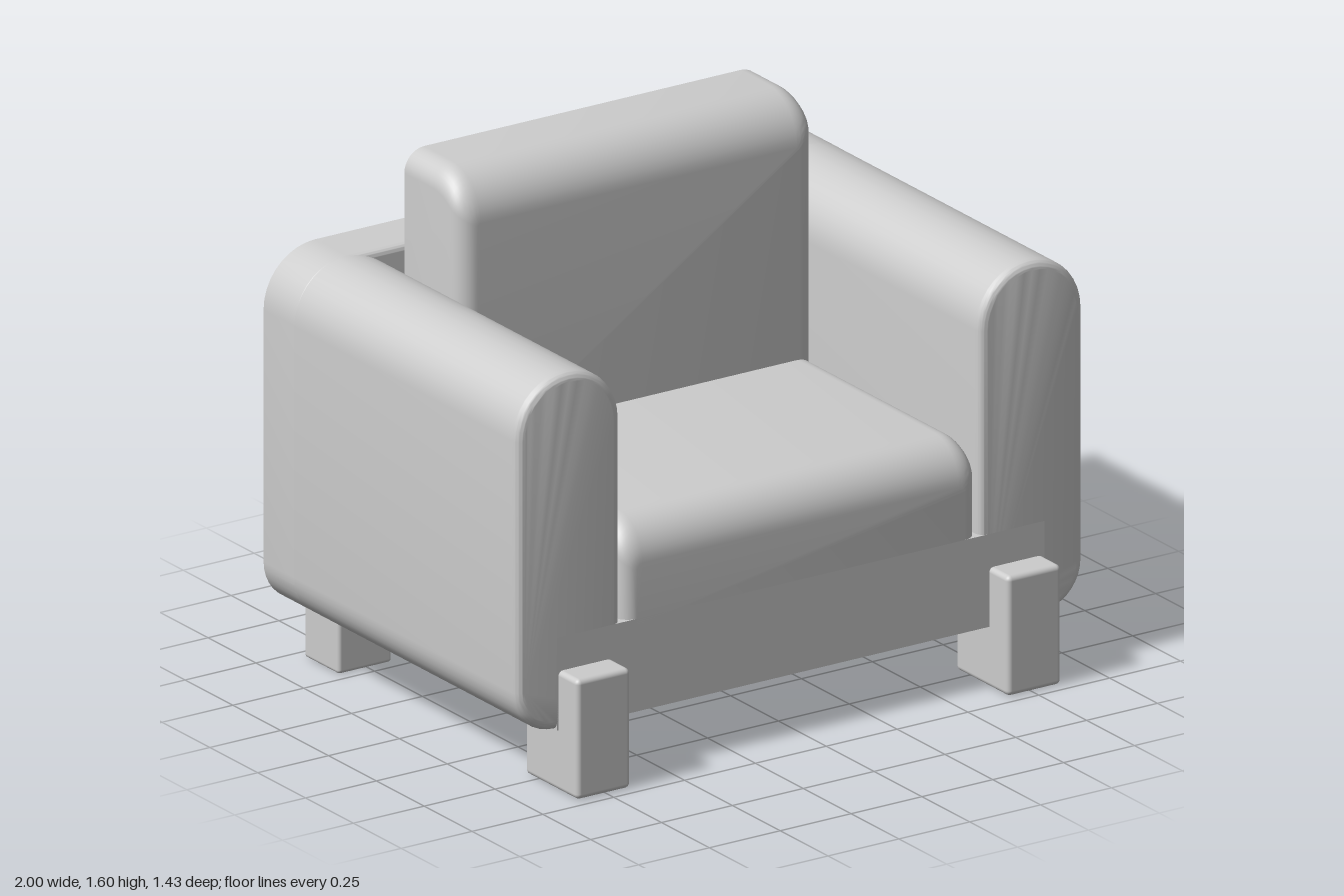
import * as THREE from 'three';
import { toCreasedNormals } from 'three/addons/utils/BufferGeometryUtils.js';
import { RoundedBoxGeometry } from 'three/addons/geometries/RoundedBoxGeometry.js';

const BACK = -0.71, FRONT = 0.617, FLOOR = 0.19, ARM_TOP = 1.3;

// Rounded rectangle outline; radii run bottom left, bottom right, top right, top left
function outline(x0, x1, y0, y1, radii) {
  const points = [];
  const corners = [[x0, y0, 1, 1], [x1, y0, -1, 1], [x1, y1, -1, -1], [x0, y1, 1, -1]];
  corners.forEach(([x, y, sx, sy], k) => {
    const r = radii[k];
    const steps = r > 0 ? 9 : 0;
    for (let i = 0; i <= steps; i++) {
      const a = Math.PI + (k + (steps ? i / steps : 0)) * Math.PI / 2;
      points.push([x + sx * r + r * Math.cos(a), y + sy * r + r * Math.sin(a)]);
    }
  });
  return points;
}

// How far a quarter-round edge of radius r has pulled in at a distance d from the face
const pullIn = (r, d) => (d >= r ? 0 : r - Math.sqrt(r * r - (r - d) ** 2));

// Block along z, flat behind, its front edges rounded by separate radii per side
function block({ x0, x1, y0, y1, z0, z1, radii, side, top, bottom = 0 }) {
  const depth = Math.max(side, top, bottom);
  const distances = [z1 - z0];
  for (let i = 0; i <= 12; i++) distances.push(depth * (1 - Math.sin(i / 12 * Math.PI / 2)));
  const loops = distances.map((d) => {
    const s = pullIn(side, d);
    const edge = outline(x0 + s, x1 - s, y0 + pullIn(bottom, d), y1 - pullIn(top, d),
      radii.map((r) => (r > 0 ? Math.max(r - s, 0.01) : 0)));
    return edge.map(([x, y]) => [x, y, z1 - d]);
  });
  const position = [];
  const tri = (...corners) => corners.forEach((p) => position.push(...p));
  const n = loops[0].length;
  for (let k = 0; k < loops.length - 1; k++) {
    for (let i = 0; i < n; i++) {
      const j = (i + 1) % n;
      tri(loops[k][i], loops[k][j], loops[k + 1][j]);
      tri(loops[k][i], loops[k + 1][j], loops[k + 1][i]);
    }
  }
  const first = loops[0], last = loops[loops.length - 1];
  for (let i = 1; i < n - 1; i++) {
    tri(first[0], first[i + 1], first[i]);
    tri(last[0], last[i], last[i + 1]);
  }
  const geometry = new THREE.BufferGeometry();
  geometry.setAttribute('position', new THREE.Float32BufferAttribute(position, 3));
  return toCreasedNormals(geometry, 0.6);
}

export function createModel() {
  const model = new THREE.Group();
  model.name = 'armchair';
  const upholstery = new THREE.MeshStandardMaterial({ color: 0xcccccc });
  upholstery.name = 'light grey';

  const add = (name, geometry, x = 0, y = 0, z = 0) => {
    const mesh = new THREE.Mesh(geometry, upholstery);
    mesh.name = name;
    mesh.position.set(x, y, z);
    model.add(mesh);
  };

  // Base between the arms, flush with their fronts
  add('base', new THREE.BoxGeometry(1.72, 0.29, FRONT - BACK),
    0, FLOOR + 0.145, (FRONT + BACK) / 2);

  // Back panel across the full width
  add('backPanel', block({
    x0: -1, x1: 1, y0: FLOOR, y1: ARM_TOP, z0: BACK, z1: -0.53,
    radii: [0.14, 0.14, 0.182, 0.182], side: 0.02, top: 0.02,
  }));

  // Round-topped arms
  add('leftArm', block({
    x0: 0.633, x1: 1, y0: FLOOR, y1: ARM_TOP, z0: BACK, z1: FRONT,
    radii: [0, 0.14, 0.183, 0.183], side: 0.028, top: 0.028, bottom: 0.028,
  }));
  add('rightArm', block({
    x0: -1, x1: -0.633, y0: FLOOR, y1: ARM_TOP, z0: BACK, z1: FRONT,
    radii: [0.14, 0, 0.183, 0.183], side: 0.028, top: 0.028, bottom: 0.028,
  }));

  // Cushions
  add('seatCushion', block({
    x0: -0.628, x1: 0.628, y0: 0.46, y1: 0.78, z0: -0.52, z1: FRONT,
    radii: [0, 0, 0.07, 0.07], side: 0.05, top: 0.13,
  }));
  add('backCushion', block({
    x0: -0.628, x1: 0.628, y0: 0.7, y1: 1.595, z0: -0.525, z1: -0.23,
    radii: [0, 0, 0.07, 0.07], side: 0.06, top: 0.15,
  }));

  // Feet: the front pair rises in front of the base
  for (const [label, s] of [['Left', 1], ['Right', -1]]) {
    add('front' + label + 'Leg', new RoundedBoxGeometry(0.19, 0.375, 0.275, 3, 0.016),
      s * 0.76, 0.1875, 0.5775);
    add('back' + label + 'Leg', new RoundedBoxGeometry(0.19, 0.23, 0.182, 3, 0.012),
      s * 0.76, 0.115, -0.624);
  }
  return model;
}
